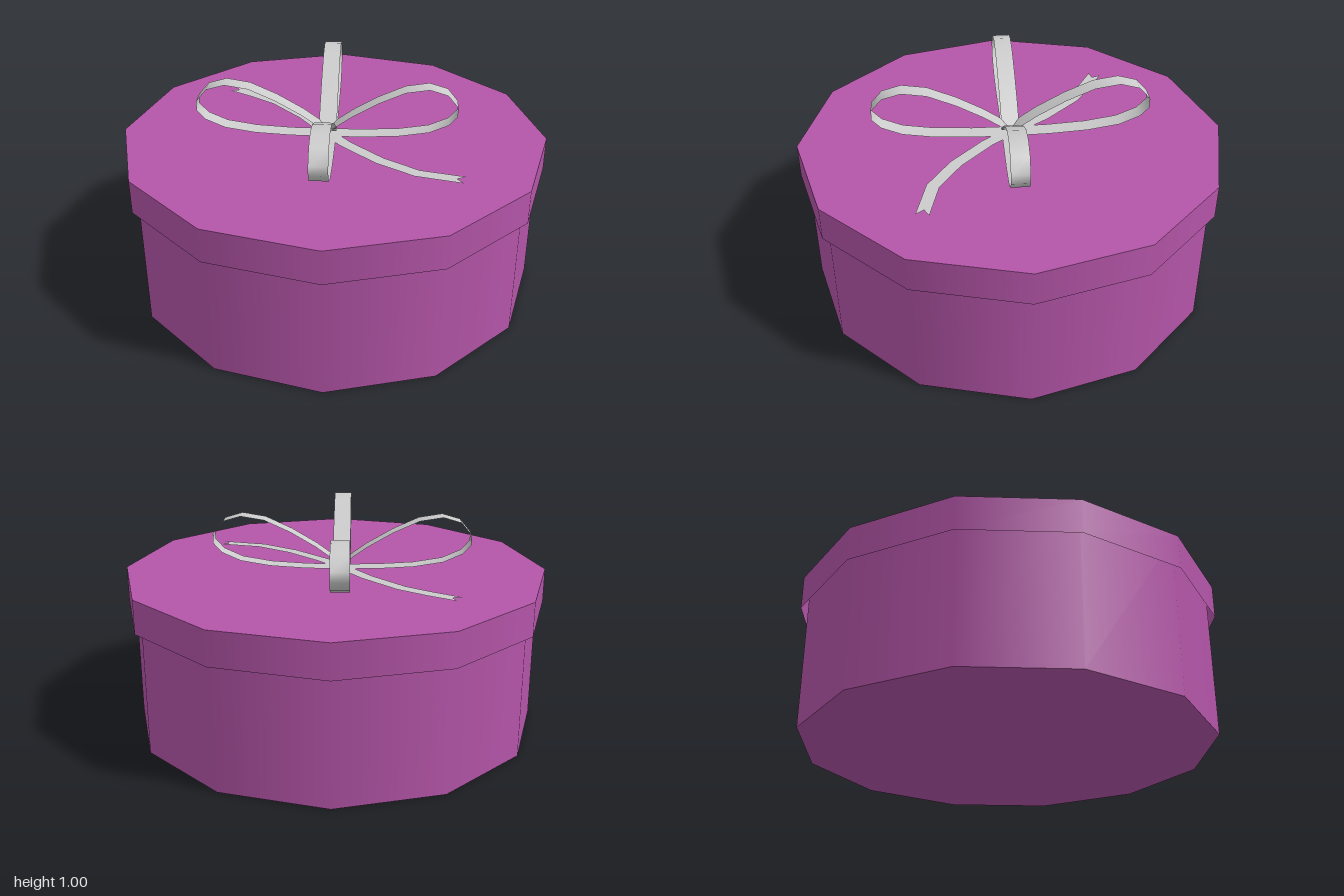
import * as THREE from 'three';

const SIDES = 12, LID_TOP = 0.742;
const purple = new THREE.MeshStandardMaterial({ color: 0xb455a8, side: THREE.DoubleSide });
const grey = new THREE.MeshStandardMaterial({ color: 0xcccccc, side: THREE.DoubleSide });

function mesh(name, geometry, material) {
  const m = new THREE.Mesh(geometry, material);
  m.name = name;
  return m;
}

// Open twelve-sided wall
function wall(name, radius, bottom, top) {
  const g = new THREE.CylinderGeometry(radius, radius, top - bottom, SIDES, 1, true);
  return mesh(name, g.translate(0, (bottom + top) / 2, 0), purple);
}

// Flat twelve-sided plate, facing up (1) or down (-1)
function plate(name, radius, y, facing) {
  const g = new THREE.CircleGeometry(radius, SIDES, Math.PI / 2);
  return mesh(name, g.rotateX(-facing * Math.PI / 2).translate(0, y, 0), purple);
}

// Side outline of one bow loop: distance from the knot, height
const LOOP = [
  [0, 0.75], [0.17, 0.752], [0.34, 0.762], [0.48, 0.785], [0.57, 0.825], [0.61, 0.87],
  [0.61, 0.915], [0.56, 0.975], [0.475, 1.0], [0.365, 0.982], [0.24, 0.925],
  [0.12, 0.855], [0.05, 0.805], [0, 0.76],
];

// Ribbon strip swept along the loop outline, width across z
function bowLoop(length, angle) {
  const positions = [], index = [], half = 0.042;
  LOOP.forEach(([r, y], i) => {
    const x = r * length / 0.61;
    positions.push(x, y, -half, x, y, half);
    const a = 2 * i;
    if (i < LOOP.length - 1) index.push(a, a + 2, a + 1, a + 1, a + 2, a + 3);
  });
  const g = new THREE.BufferGeometry();
  g.setAttribute('position', new THREE.Float32BufferAttribute(positions, 3));
  g.setIndex(index);
  g.computeVertexNormals();
  const m = mesh('bowLoop', g, grey);
  m.rotation.y = angle;
  return m;
}

// Flat ribbon tail with a notched end, from a centre line of [x, z] points
function ribbonTail(line) {
  const half = 0.03, left = [], right = [];
  const pts = line.map(([x, z]) => new THREE.Vector2(x, -z));
  let dir;
  pts.forEach((p, i) => {
    const a = pts[Math.max(i - 1, 0)], b = pts[Math.min(i + 1, pts.length - 1)];
    dir = b.clone().sub(a).normalize();
    const side = new THREE.Vector2(-dir.y, dir.x).multiplyScalar(half);
    left.push(p.clone().add(side));
    right.unshift(p.clone().sub(side));
  });
  const notch = pts[pts.length - 1].clone().addScaledVector(dir, -0.035);
  const g = new THREE.ShapeGeometry(new THREE.Shape([...right, ...left.slice(0, -1), left[left.length - 1], notch]));
  return mesh('ribbonTail', g.rotateX(-Math.PI / 2).translate(0, LID_TOP + 0.007, 0), grey);
}

export function createModel() {
  const model = new THREE.Group();
  model.name = 'giftBox';

  const box = new THREE.Group();
  box.name = 'box';
  box.add(wall('boxWall', 0.967, 0, 0.735), plate('boxBottom', 0.967, 0, -1));

  const lid = new THREE.Group();
  lid.name = 'lid';
  lid.add(wall('lidRim', 1, 0.583, LID_TOP), plate('lidTop', 1, LID_TOP, 1));

  // Four loops around the knot, slightly off centre
  const bow = new THREE.Group();
  bow.name = 'bow';
  bow.position.x = -0.03;
  bow.add(
    bowLoop(0.605, -0.02),
    bowLoop(0.61, Math.PI),
    bowLoop(0.65, Math.PI / 2),
    bowLoop(0.645, -Math.PI / 2 - 0.005),
  );

  // Two loose tails lying on the lid
  const tails = new THREE.Group();
  tails.name = 'ribbonTails';
  tails.add(
    ribbonTail([[-0.03, 0], [0.06, 0.115], [0.22, 0.27], [0.385, 0.378], [0.59, 0.428]]),
    ribbonTail([[-0.03, 0], [-0.15, -0.17], [-0.3, -0.33], [-0.42, -0.412], [-0.545, -0.485]]),
  );

  model.add(box, lid, bow, tails);
  return model;
}
